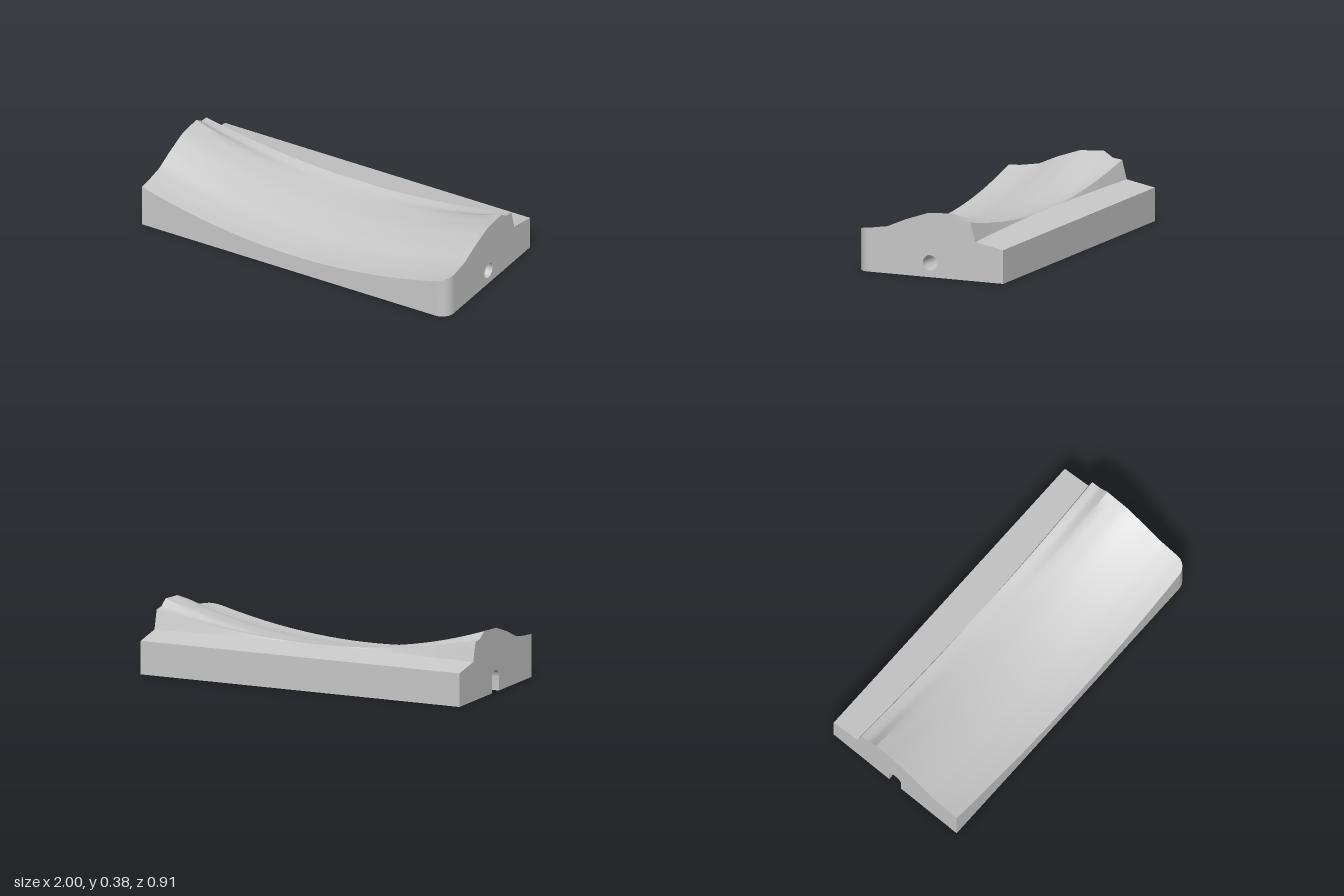
import * as THREE from 'three';
import { toCreasedNormals } from 'three/addons/utils/BufferGeometryUtils.js';

const FRONT = 0.455, BACK = -0.455;   // depth limits
const CORNER = 0.075;                 // rounded front corner radius
const BORE = 0.044, BORE_Y = 0.082;   // lengthwise bore
const NOTCH_X = -0.92;                // inner end of the open notch
const STEPS = 48;

// Saddle profile: z, height at the two ends, height at mid length
const PROFILE = [
  [FRONT, 0.247, 0.103], [0.38, 0.252, 0.107], [0.265, 0.27, 0.124],
  [0.15, 0.32, 0.154], [0.01, 0.368, 0.184], [-0.14, 0.377, 0.204],
  [-0.195, 0.342, 0.213], [-0.252, 0.335, 0.229],
];

const deckY = z => 0.193 + (z - BACK) * 0.184;
const footZ = x => -0.255 - 0.026 * x * x;

// Height of the saddle at x, z
function saddleY(x, z) {
  let k = 0;
  while (k < PROFILE.length - 2 && z < PROFILE[k + 1][0]) k++;
  const [z0, e0, m0] = PROFILE[k], [z1, e1, m1] = PROFILE[k + 1];
  const t = (z - z0) / (z1 - z0);
  const end = e0 + (e1 - e0) * t, mid = m0 + (m1 - m0) * t;
  return mid + (end - mid) * x * x;
}

// Surface through rows of points; it faces along (row direction x next row)
function loft(rows) {
  const n = rows[0].length, index = [];
  for (let j = 0; j < rows.length - 1; j++) {
    for (let i = 0; i < n - 1; i++) {
      const a = j * n + i, c = a + n;
      index.push(a, a + 1, c, a + 1, c + 1, c);
    }
  }
  const g = new THREE.BufferGeometry();
  g.setAttribute('position', new THREE.Float32BufferAttribute(rows.flat(2), 3));
  g.setIndex(index);
  return toCreasedNormals(g, 0.5);
}

export function createModel() {
  const group = new THREE.Group();
  const grey = new THREE.MeshStandardMaterial({ color: 0xc8c8c8, side: THREE.DoubleSide });
  grey.name = 'plain grey';
  const add = (name, geometry) => {
    const mesh = new THREE.Mesh(geometry, grey);
    mesh.name = name;
    group.add(mesh);
  };

  // Rows of the top, with extra ones around the rounded corner
  const zs = [];
  for (let k = 0; k <= 8; k++) zs.push(FRONT - CORNER + CORNER * Math.cos(k * Math.PI / 16));
  PROFILE.slice(2).forEach((p, k) => {
    const prev = k ? PROFILE[k + 1][0] : zs[8];
    for (let s = 1; s <= 3; s++) zs.push(prev + (p[0] - prev) * s / 3);
  });
  const rightEdge = z => {
    const d = Math.max(0, z - (FRONT - CORNER));
    return 1 - CORNER + Math.sqrt(Math.max(0, CORNER * CORNER - d * d));
  };
  const row = (right, point) => Array.from({ length: STEPS + 1 },
    (_, i) => point(-1 + (right + 1) * i / STEPS));

  const saddle = zs.map(z => row(rightEdge(z), x => [x, saddleY(x, z), z]));
  const foot = row(1, x => [x, deckY(footZ(x)), footZ(x)]);
  const rear = row(1, x => [x, deckY(BACK), BACK]);
  add('saddle', loft(saddle));
  add('rearStep', loft([saddle[saddle.length - 1], foot]));
  add('rearDeck', loft([foot, rear]));

  // Upright walls below the top edges
  const floor = points => points.map(([x, , z]) => [x, 0, z]);
  const frontEdge = [...saddle[0], ...saddle.slice(1, 9).map(r => r[STEPS])];
  add('frontWall', loft([floor(frontEdge), frontEdge]));
  const rearEdge = [...rear].reverse();
  add('rearWall', loft([floor(rearEdge), rearEdge]));

  // Left end, pierced by the bore
  const leftEdge = [...saddle.slice(8).map(r => r[STEPS]), foot[STEPS], rear[STEPS]];
  const left = new THREE.Shape([
    new THREE.Vector2(-leftEdge[0][2], 0),
    ...leftEdge.map(p => new THREE.Vector2(-p[2], p[1])),
    new THREE.Vector2(-BACK, 0),
  ]);
  left.holes.push(new THREE.Path().absarc(0, BORE_Y, BORE, 0, Math.PI * 2, true));
  add('leftEnd', new THREE.ShapeGeometry(left, 24).rotateY(Math.PI / 2).translate(1, 0, 0));

  // Right end, cut by the arched notch
  const right = new THREE.Shape();
  right.moveTo(BACK, 0);
  right.lineTo(-BORE, 0);
  right.lineTo(-BORE, BORE_Y);
  right.absarc(0, BORE_Y, BORE, Math.PI, 0, true);
  right.lineTo(BORE, 0);
  right.lineTo(FRONT, 0);
  [...saddle.map(r => r[0]), foot[0], rear[0]].forEach(p => right.lineTo(p[2], p[1]));
  add('rightEnd', new THREE.ShapeGeometry(right, 24).rotateY(-Math.PI / 2).translate(-1, 0, 0));

  // Underside with the notch opening
  const base = new THREE.Shape();
  base.moveTo(-1, BACK);
  base.lineTo(1, BACK);
  base.lineTo(1, FRONT - CORNER);
  base.absarc(1 - CORNER, FRONT - CORNER, CORNER, 0, Math.PI / 2, false);
  base.lineTo(-1, FRONT);
  base.lineTo(-1, BORE);
  base.lineTo(NOTCH_X, BORE);
  base.lineTo(NOTCH_X, -BORE);
  base.lineTo(-1, -BORE);
  add('underside', new THREE.ShapeGeometry(base, 8).rotateX(Math.PI / 2));

  // Bore and notch linings
  const ring = (x0, x1, a) => [x0, x1].map(
    x => [x, BORE_Y + BORE * Math.sin(a), BORE * Math.cos(a)]);
  const arc = (x0, x1, sweep, n) => Array.from({ length: n + 1 },
    (_, i) => ring(x0, x1, Math.PI - sweep * i / n));
  add('bore', loft(arc(NOTCH_X, 1, Math.PI * 2, 32)));
  add('notch', loft([
    [[-1, 0, -BORE], [NOTCH_X, 0, -BORE]],
    ...arc(-1, NOTCH_X, Math.PI, 16),
    [[-1, 0, BORE], [NOTCH_X, 0, BORE]],
  ]));
  const stop = new THREE.Shape();
  stop.moveTo(-BORE, 0);
  stop.lineTo(BORE, 0);
  stop.lineTo(BORE, BORE_Y);
  stop.absarc(0, BORE_Y, BORE, 0, -Math.PI, true);
  add('notchEnd', new THREE.ShapeGeometry(stop, 16).rotateY(-Math.PI / 2).translate(NOTCH_X, 0, 0));

  return group;
}
